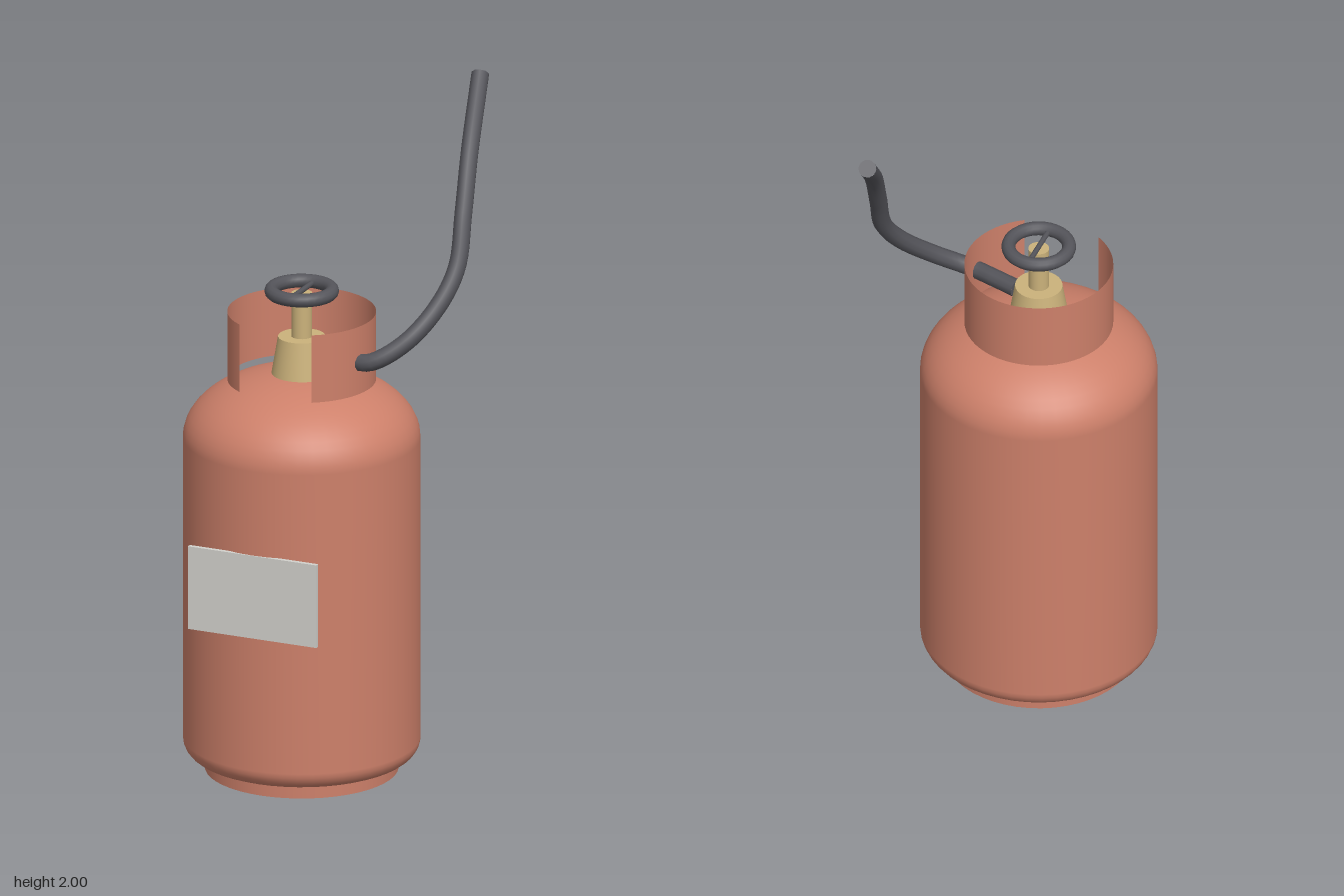
import * as THREE from 'three';

export function createModel() {
  const model = new THREE.Group();
  model.name = 'gasBottle';

  const paint = (name, color) => {
    const m = new THREE.MeshStandardMaterial({ color });
    m.name = name;
    return m;
  };
  const red = paint('terracottaPaint', 0xcd806a);
  const collarRed = red.clone();
  collarRed.side = THREE.DoubleSide;
  const brass = paint('brass', 0xcbb27b);
  const rubber = paint('darkRubber', 0x55555b);
  const plate = paint('paleLabel', 0xd2d1cc);

  const add = (parent, name, geometry, material, x = 0, y = 0, z = 0) => {
    const mesh = new THREE.Mesh(geometry, material);
    mesh.name = name;
    mesh.position.set(x, y, z);
    parent.add(mesh);
    return mesh;
  };

  // Everything turned about the bottle's axis sits in this group
  const bottle = new THREE.Group();
  bottle.name = 'bottle';
  bottle.position.set(-0.052, 0, 0.09);
  model.add(bottle);

  // Tank: rounded base, straight wall, elliptical dome
  const R = 0.34;
  const profile = [new THREE.Vector2(0, 0.038), new THREE.Vector2(0.27, 0.038)];
  for (let i = 0; i <= 6; i++) {
    const a = (i / 6) * Math.PI / 2;
    profile.push(new THREE.Vector2(0.285 + 0.055 * Math.sin(a), 0.095 - 0.055 * Math.cos(a)));
  }
  for (let i = 0; i <= 14; i++) {
    const a = (i / 14) * Math.PI / 2;
    profile.push(new THREE.Vector2(i === 14 ? 0 : R * Math.cos(a), 1.0 + 0.2 * Math.sin(a)));
  }
  add(bottle, 'tank', new THREE.LatheGeometry(profile, 48), red);
  add(bottle, 'footRing', new THREE.CylinderGeometry(0.277, 0.277, 0.045, 48), red, 0, 0.0225, 0);

  // Thin guard collar, open at the front
  const gap = 0.56;
  add(bottle, 'guardCollar',
    new THREE.CylinderGeometry(0.213, 0.213, 0.204, 48, 1, true, gap, Math.PI * 2 - 2 * gap),
    collarRed, 0, 1.277, 0);

  // Valve body and stem
  add(bottle, 'valveBody', new THREE.CylinderGeometry(0.068, 0.088, 0.12, 32), brass, 0, 1.244, 0);
  add(bottle, 'valveStem', new THREE.CylinderGeometry(0.03, 0.03, 0.14, 24), brass, 0, 1.365, 0);

  // Handwheel with one crossbar
  const wheel = add(bottle, 'handwheel', new THREE.TorusGeometry(0.087, 0.02, 12, 32), rubber, 0, 1.441, 0);
  wheel.rotation.x = Math.PI / 2;
  const bar = add(bottle, 'handwheelBar', new THREE.CylinderGeometry(0.008, 0.008, 0.16, 8), rubber, 0, 1.441, 0);
  bar.rotation.x = Math.PI / 2;

  // Hose leaving the valve sideways and sweeping up to the back
  const path = new THREE.CatmullRomCurve3([
    [0.015, 1.275, 0.088], [0.09, 1.272, 0.115], [0.18, 1.272, 0.141], [0.27, 1.327, 0.092],
    [0.335, 1.42, 0.005], [0.362, 1.52, -0.07], [0.35, 1.66, -0.142],
    [0.325, 1.81, -0.24], [0.278, 1.984, -0.417],
  ].map((p) => new THREE.Vector3(...p)));
  const r = 0.026;
  add(model, 'hose', new THREE.TubeGeometry(path, 56, r, 10), rubber);
  for (const t of [0, 1]) {
    const end = path.getPointAt(t);
    const out = path.getTangentAt(t).multiplyScalar(t ? 1 : -1);
    const cap = add(model, t ? 'hoseTip' : 'hoseRoot', new THREE.CircleGeometry(r, 10), rubber, end.x, end.y, end.z);
    cap.quaternion.setFromUnitVectors(new THREE.Vector3(0, 0, 1), out);
  }

  // Flat label plate on the front
  add(model, 'labelPlate', new THREE.BoxGeometry(0.403, 0.25, 0.013), plate, -0.052, 0.622, 0.4265);

  return model;
}
